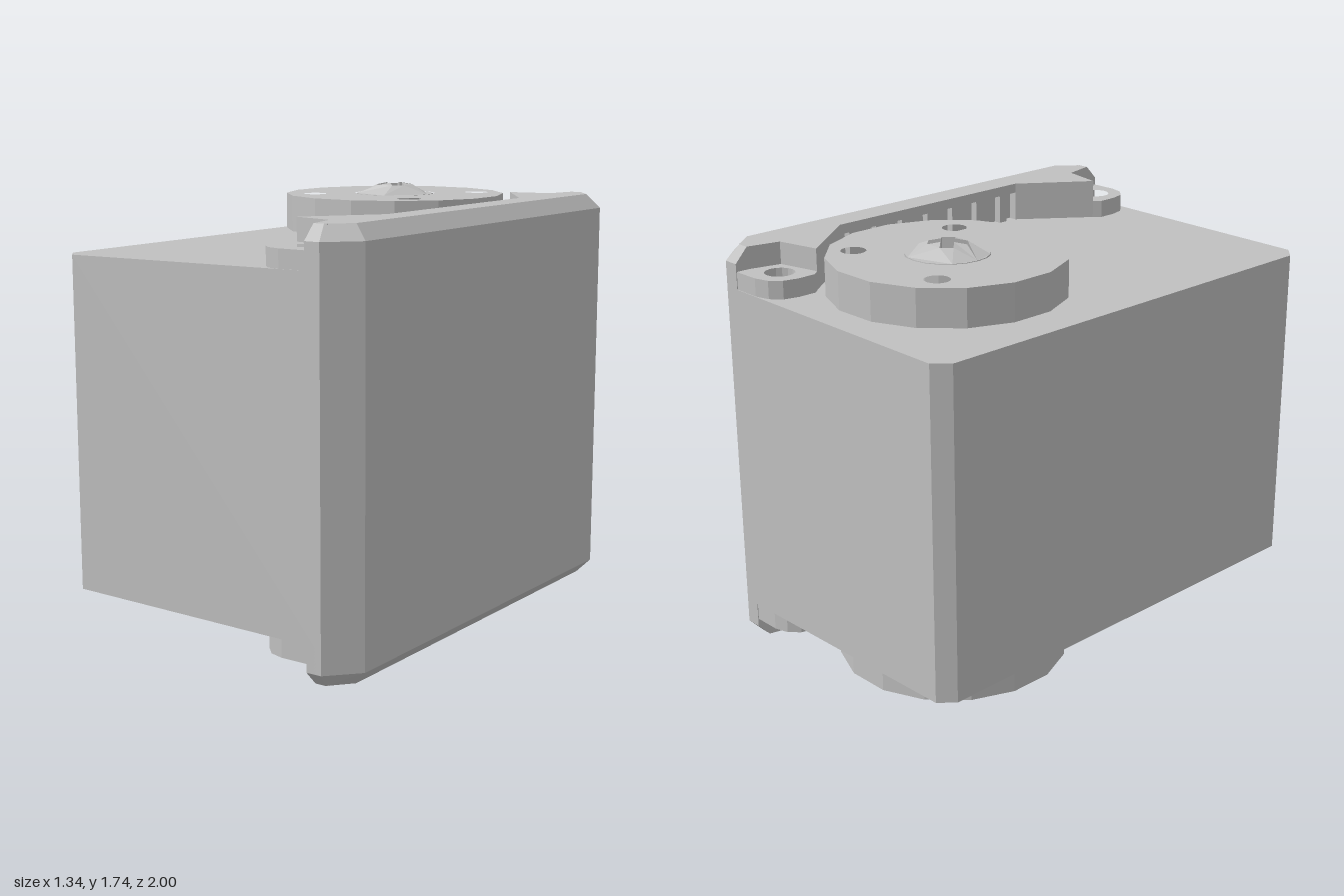
import * as THREE from 'three';
import { ConvexGeometry } from 'three/addons/geometries/ConvexGeometry.js';

const MID = 0.85;            // height of the mirror plane between both ends
const AX = -0.093, AZ = -0.44; // output shaft position

export function createModel() {
  const model = new THREE.Group();
  const grey = new THREE.MeshStandardMaterial({ color: 0xc0c0c0, flatShading: true });
  grey.name = 'greyPlastic';

  const add = (name, geo, parent = model) => {
    const mesh = new THREE.Mesh(geo, grey);
    mesh.name = name;
    parent.add(mesh);
    return mesh;
  };

  // Points on a circle in plan
  const ring = (cx, cz, r, n, a0 = 0) => Array.from({ length: n }, (_, i) => {
    const a = a0 + (i / n) * Math.PI * 2;
    return [cx + r * Math.cos(a), cz + r * Math.sin(a)];
  });

  // Plan outline [x, z] extruded between two heights
  const slab = (pts, ya, yb, holes = []) => {
    const v = (list) => list.map(([x, z]) => new THREE.Vector2(x, -z));
    const shape = new THREE.Shape(v(pts));
    holes.forEach((h) => shape.holes.push(new THREE.Path(v(h))));
    const lo = Math.min(ya, yb);
    const geo = new THREE.ExtrudeGeometry(shape, { depth: Math.abs(yb - ya), bevelEnabled: false });
    return geo.rotateX(-Math.PI / 2).translate(0, lo, 0);
  };
  const mirrorZ = (pts, s) => pts.map(([x, z]) => [x, z * s]);

  // Main case, very slightly tapered towards its open side
  const body = slab([[-0.67, -0.94], [-0.615, -1], [0.535, -1], [0.535, 1], [-0.615, 1], [-0.67, 0.94]], 0.17, 1.53);
  const bp = body.attributes.position;
  for (let i = 0; i < bp.count; i++) {
    const drop = ((0.535 - bp.getX(i)) / 1.2) * 0.014;
    bp.setY(i, bp.getY(i) + (bp.getY(i) > MID ? -drop : drop));
  }
  body.computeVertexNormals();
  add('caseBody', body);

  // Side wall with chamfered outer edges
  const wall = [];
  for (const s of [1, -1]) {
    for (const y of [0.068, 1.632]) {
      for (const [x, z] of [[0.53, 1], [0.56, 1], [0.67, 0.88]]) wall.push(new THREE.Vector3(x, y, z * s));
    }
    for (const y of [0.01, 1.69]) {
      for (const [x, z] of [[0.53, 0.945], [0.54, 0.945], [0.615, 0.857]]) wall.push(new THREE.Vector3(x, y, z * s));
    }
  }
  add('sideWall', new ConvexGeometry(wall));

  // Details repeated on the top and the bottom
  for (const top of [true, false]) {
    const end = new THREE.Group();
    end.name = top ? 'topEnd' : 'bottomEnd';
    model.add(end);
    const Y = (y) => (top ? y : 2 * MID - y);

    // Thin lip of the wall, carried by ribs with slots between them
    add('wallLip', slab([[0.495, -0.5], [0.54, -0.5], [0.54, 0.5], [0.495, 0.5]], Y(1.65), Y(1.69)), end);
    for (let i = 0; i < 7; i++) {
      const z = -0.42 + i * 0.14;
      add('rib', slab([[0.5, z - 0.02], [0.54, z - 0.02], [0.54, z + 0.02], [0.5, z + 0.02]], Y(1.52), Y(1.66)), end);
    }

    for (const s of [1, -1]) {
      // Wedge beside the screw ear
      const wedge = [[0.495, 0.49], [0.55, 0.49], [0.55, 0.94], [0.495, 0.94], [0.465, 0.81], [0.29, 0.77]];
      add('wedge', slab(mirrorZ(wedge, s), Y(1.52), Y(1.69)), end);

      // Chamfered corner joining the wedge to the wall
      const corner = [];
      for (const x of [0.495, 0.535]) {
        for (const [y, z] of [[1.52, 0.9], [1.69, 0.9], [1.69, 0.945], [1.632, 1], [1.52, 1]]) {
          corner.push(new THREE.Vector3(x, Y(y), z * s));
        }
      }
      add('wallCorner', new ConvexGeometry(corner), end);

      // Rounded ear with screw hole
      const ear = [[0.51, 0.997], [0.38, 0.997], [0.32, 0.98], [0.28, 0.94], [0.265, 0.88], [0.265, 0.8], [0.29, 0.77], [0.51, 0.77]];
      add('screwEar', slab(mirrorZ(ear, s), Y(1.52), Y(1.6), [ring(0.38, 0.88 * s, 0.06, 16)]), end);
    }

    // Horn disc with four screw holes and a central opening
    const holes = [[-0.33, -0.705], [0.17, -0.685], [-0.35, -0.21], [0.145, -0.19]].map(([x, z]) => ring(x, z, 0.05, 16));
    holes.push(ring(AX, AZ, top ? 0.172 : 0.2, 20));
    add('hornDisc', slab(ring(AX, AZ, 0.467, 16, Math.PI / 16), Y(1.54), Y(1.69), holes), end);
    add('hornHub', slab(ring(AX, AZ, 0.22, 20), Y(1.51), Y(1.56)), end);

    // Domed centre screw with a cross recess
    const R = 0.165, w = 0.026, l = 0.075;
    const cross = [[w, w], [l, w], [l, -w], [w, -w], [w, -l], [-w, -l], [-w, -w], [-l, -w], [-l, w], [-w, w], [-w, l], [w, l]]
      .map(([x, z]) => [AX + (x - z) * Math.SQRT1_2, AZ + (x + z) * Math.SQRT1_2]);
    const rim = top ? 1.69 : 1.655;
    const screw = slab(ring(AX, AZ, R, 20), Y(1.55), Y(rim), [cross]);
    const sp = screw.attributes.position;
    for (let i = 0; i < sp.count; i++) {
      if (Math.abs(sp.getY(i) - Y(rim)) > 0.001) continue;
      const r = Math.hypot(sp.getX(i) - AX, sp.getZ(i) - AZ) / R;
      sp.setY(i, Y(rim + 0.048 * (1 - r * r)));
    }
    screw.computeVertexNormals();
    add('centreScrew', screw, end);
    add('screwRecessFloor', slab(ring(AX, AZ, 0.1, 12), Y(1.55), Y(rim - 0.02)), end);
  }

  return model;
}
